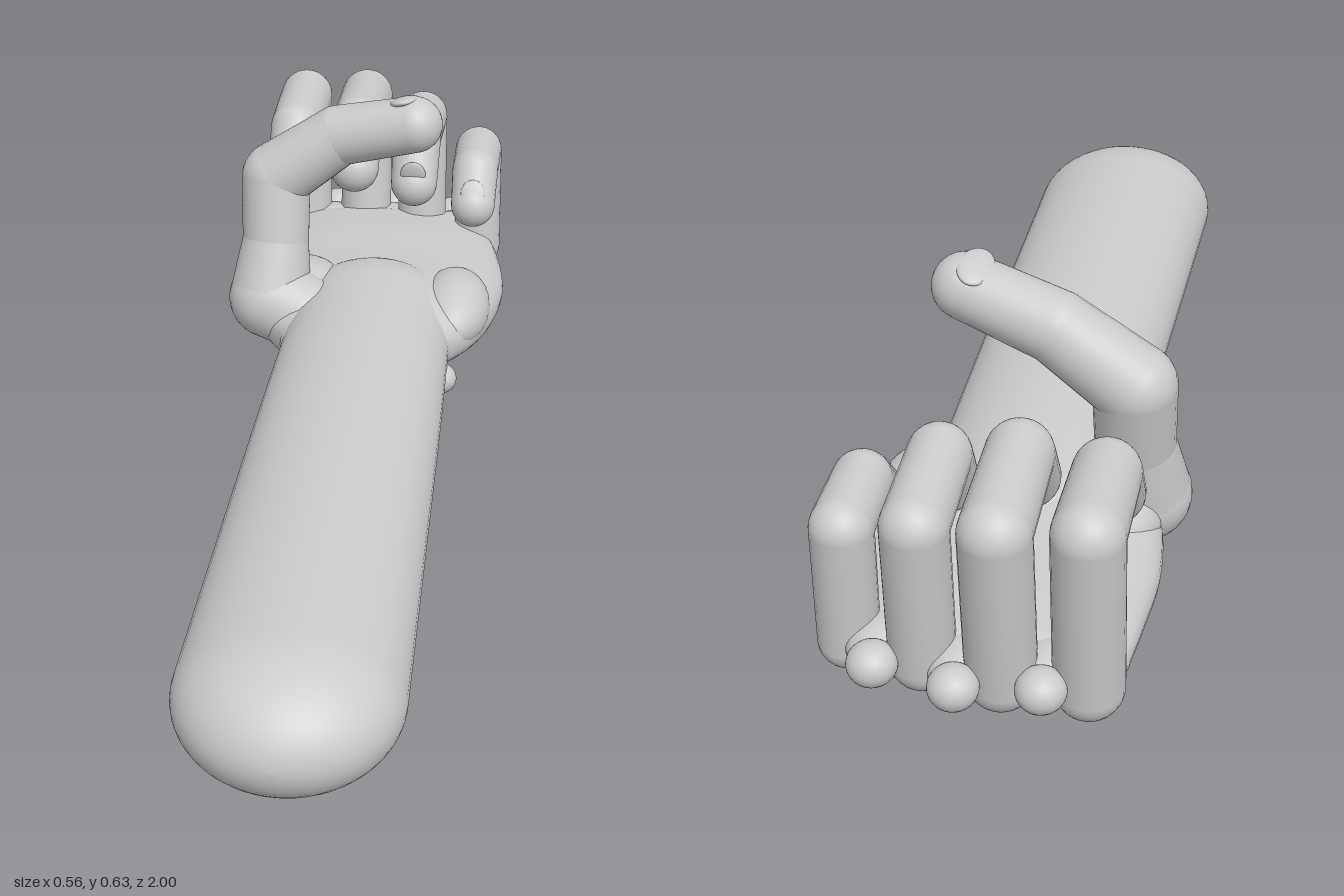
import * as THREE from 'three';

const material = new THREE.MeshStandardMaterial({ color: 0xcccccc });
const V = (a) => new THREE.Vector3(a[0], a[1], a[2]);

function addMesh(parent, name, geometry) {
  const mesh = new THREE.Mesh(geometry, material);
  mesh.name = name;
  parent.add(mesh);
  return mesh;
}

// Smooth loft through oval sections [z, cx, cy, rx, ry], front to back, with rounded caps
function loft(sections, capFront, capBack, power = 1) {
  const rings = [];
  const first = sections[0], last = sections[sections.length - 1];
  const cap = (s, len, t) => {
    const k = Math.max(Math.sin(t), 0.001);
    return [s[0] + len * Math.cos(t), s[1], s[2], s[3] * k, s[4] * k];
  };
  for (let i = 0; i < 14; i++) rings.push(cap(first, capFront, (i / 14) * Math.PI / 2));
  const centre = new THREE.CatmullRomCurve3(sections.map((s) => new THREE.Vector3(s[1], s[2], s[0])));
  const size = new THREE.CatmullRomCurve3(sections.map((s) => new THREE.Vector3(s[3], s[4], s[0])));
  const steps = (sections.length - 1) * 6;
  for (let i = 0; i <= steps; i++) {
    const c = centre.getPoint(i / steps), r = size.getPoint(i / steps);
    rings.push([c.z, c.x, c.y, r.x, r.y]);
  }
  for (let i = 1; i <= 14; i++) rings.push(cap(last, -capBack, Math.PI / 2 * (1 - i / 14)));
  const n = 48, pos = [], index = [];
  const bend = (v) => Math.sign(v) * Math.abs(v) ** power;
  rings.forEach(([z, cx, cy, rx, ry], i) => {
    for (let j = 0; j < n; j++) {
      const t = (j / n) * Math.PI * 2;
      pos.push(cx + rx * bend(Math.cos(t)), cy + ry * bend(Math.sin(t)), z);
      if (i === rings.length - 1) continue;
      const a = i * n + j, b = i * n + (j + 1) % n;
      index.push(a, a + n, b, b, a + n, b + n);
    }
  });
  const g = new THREE.BufferGeometry();
  g.setAttribute('position', new THREE.Float32BufferAttribute(pos, 3));
  g.setIndex(index);
  g.computeVertexNormals();
  return g;
}

function ball(parent, name, p, rx, ry = rx, rz = rx) {
  const m = addMesh(parent, name, new THREE.SphereGeometry(1, 28, 20));
  m.position.copy(V(p));
  m.scale.set(rx, ry, rz);
  return m;
}

// Chain of tapered bones and round joints through points [x, y, z, radius]
function digit(name, joints, nailUp) {
  const g = new THREE.Group();
  g.name = name;
  joints.forEach((p, i) => {
    ball(g, i === joints.length - 1 ? 'fingertip' : 'joint', p, p[3]);
    if (!i) return;
    const a = V(joints[i - 1]), b = V(p);
    const bone = addMesh(g, 'phalanx',
      new THREE.CylinderGeometry(p[3], joints[i - 1][3], a.distanceTo(b), 28, 1, true));
    bone.position.lerpVectors(a, b, 0.5);
    bone.quaternion.setFromUnitVectors(new THREE.Vector3(0, 1, 0), b.clone().sub(a).normalize());
  });
  // Shallow nail on the outer side of the last bone
  const end = joints[joints.length - 1], tip = V(end), r = end[3];
  const along = tip.clone().sub(V(joints[joints.length - 2])).normalize();
  const out = V(nailUp).addScaledVector(along, -V(nailUp).dot(along)).normalize();
  const side = new THREE.Vector3().crossVectors(along, out);
  const nail = ball(g, 'nail', [0, 0, 0], r * 0.55, r * 0.2, r * 0.8);
  nail.quaternion.setFromRotationMatrix(new THREE.Matrix4().makeBasis(side, out, along));
  nail.position.copy(tip).addScaledVector(out, r * 0.86).addScaledVector(along, -r * 0.2);
  return g;
}

export function createModel() {
  const model = new THREE.Group();
  model.name = 'armWithHand';

  addMesh(model, 'forearm', loft([
    [0.81, 0.014, 0.127, 0.186, 0.125],
    [0.4, 0.014, 0.136, 0.18, 0.12],
    [0, 0.014, 0.144, 0.174, 0.114],
    [-0.28, 0.014, 0.15, 0.168, 0.107],
    [-0.44, 0.014, 0.153, 0.165, 0.102],
  ], 0.19, 0.17));

  addMesh(model, 'palm', loft([
    [-0.3, 0.01, 0.152, 0.17, 0.07],
    [-0.38, 0.01, 0.152, 0.222, 0.08],
    [-0.47, 0.012, 0.15, 0.25, 0.083],
    [-0.6, 0.012, 0.147, 0.264, 0.074],
    [-0.74, 0.006, 0.15, 0.25, 0.066],
    [-0.83, 0, 0.148, 0.235, 0.06],
  ], 0.09, 0.08, 0.85));

  // Fleshy pads and wrist bone
  ball(model, 'heelPad', [0.18, 0.17, -0.46], 0.075, 0.068, 0.13);
  ball(model, 'thumbPad', [-0.14, 0.175, -0.47], 0.1, 0.075, 0.12);
  ball(model, 'wristBone', [0.172, 0.12, -0.245], 0.03);

  // Curled fingers: x, radius, then [y, z] of knuckle, two joints and tip
  const fingers = [
    ['indexFinger', -0.185, 0.056, [0.142, -0.885], [0.44, -0.925], [0.435, -0.75], [0.36, -0.685]],
    ['middleFinger', -0.052, 0.056, [0.15, -0.895], [0.44, -0.942], [0.455, -0.75], [0.375, -0.685]],
    ['ringFinger', 0.076, 0.053, [0.15, -0.87], [0.412, -0.905], [0.43, -0.735], [0.348, -0.68]],
    ['littleFinger', 0.203, 0.05, [0.142, -0.83], [0.36, -0.85], [0.365, -0.725], [0.31, -0.665]],
  ];
  for (const [name, x, r, ...path] of fingers) {
    const joints = path.map(([y, z], i) => [x + (i === 0 ? 0.004 : 0), y, z, r * [1, 1, 0.97, 0.92][i]]);
    model.add(digit(name, joints, [0, 0.5, 1]));
  }

  // Knuckle bumps between the finger roots
  [[-0.118, -0.945], [0.012, -0.96], [0.145, -0.925]].forEach(([x, z]) =>
    ball(model, 'knuckle', [x, 0.17, z], 0.04, 0.036, 0.04));
  [[-0.118, -0.87], [0.012, -0.88], [0.145, -0.85]].forEach(([x, z]) =>
    ball(model, 'fingerWeb', [x, 0.155, z], 0.06, 0.045, 0.07));

  model.add(digit('thumb', [
    [-0.13, 0.17, -0.4, 0.08],
    [-0.196, 0.192, -0.42, 0.085],
    [-0.188, 0.31, -0.455, 0.068],
    [-0.19, 0.435, -0.485, 0.07],
    [-0.062, 0.53, -0.485, 0.061],
    [0.093, 0.574, -0.452, 0.056],
  ], [0, 1, -0.2]));

  return model;
}
